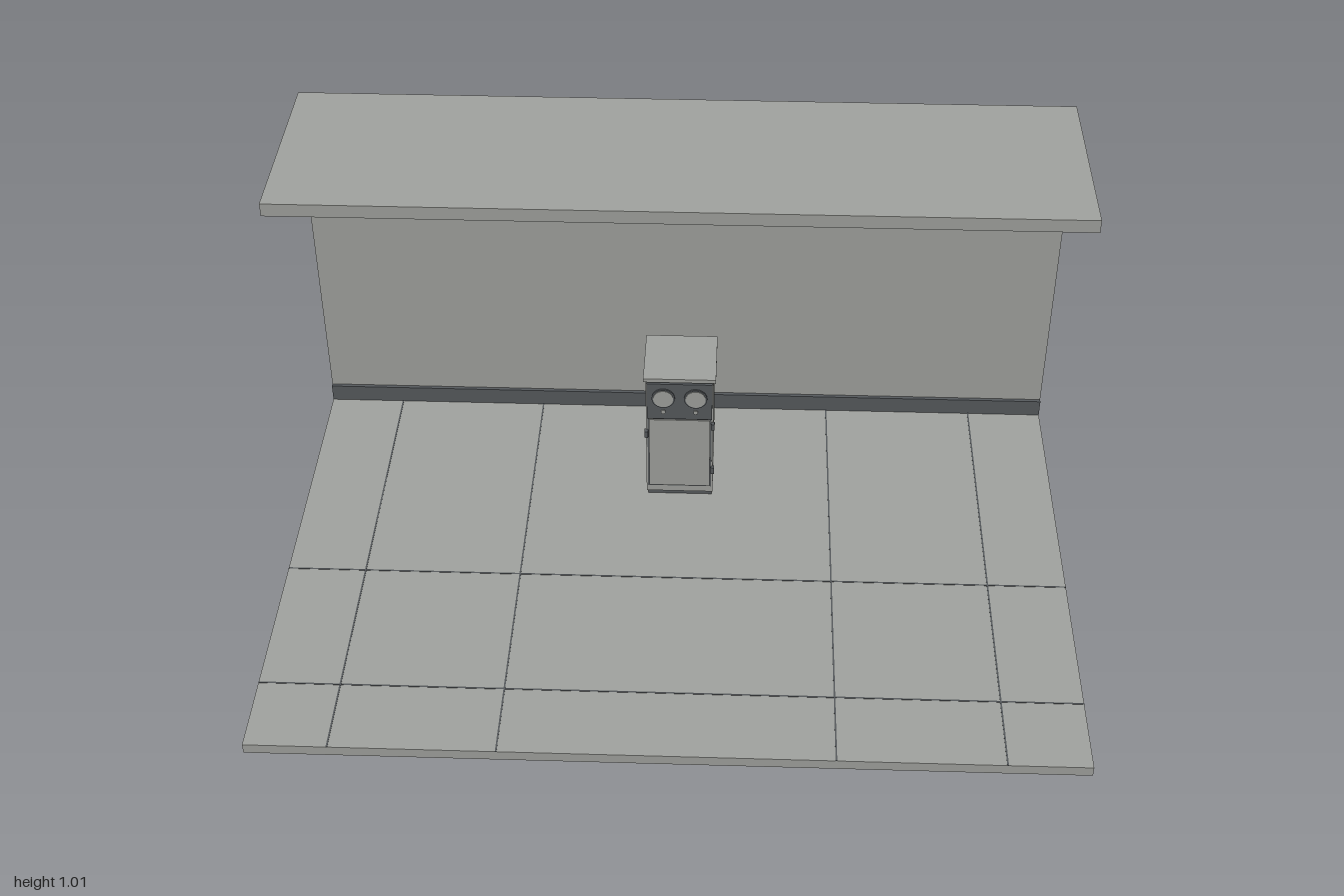
import * as THREE from 'three';

const light = new THREE.MeshStandardMaterial({ name: 'light grey', color: 0xa0a29e });
const dark = new THREE.MeshStandardMaterial({ name: 'dark grey', color: 0x565a5d });

// Box given by its minimum and maximum corners
function box(parent, name, mat, [x0, y0, z0], [x1, y1, z1]) {
  const mesh = new THREE.Mesh(new THREE.BoxGeometry(x1 - x0, y1 - y0, z1 - z0), mat);
  mesh.position.set((x0 + x1) / 2, (y0 + y1) / 2, (z0 + z1) / 2);
  mesh.name = name;
  parent.add(mesh);
  return mesh;
}

// Disc facing the front
function disc(parent, name, mat, r, x, y, z0, z1) {
  const geo = new THREE.CylinderGeometry(r, r, z1 - z0, 32).rotateX(Math.PI / 2);
  const mesh = new THREE.Mesh(geo, mat);
  mesh.position.set(x, y, (z0 + z1) / 2);
  mesh.name = name;
  parent.add(mesh);
}

function createRoom() {
  const room = new THREE.Group();
  room.name = 'room';
  box(room, 'floor', light, [-1, 0, -1], [1, 0.027, 1]);
  box(room, 'backWall', light, [-1, 0.027, -0.338], [1, 0.975, -0.302]);
  box(room, 'ceiling', light, [-1, 0.975, -0.338], [1, 1.01, 0.18]);
  box(room, 'baseboard', dark, [-1, 0.027, -0.302], [1, 0.075, -0.292]);

  // Thin tile joints in both directions
  const w = 0.002;
  for (const p of [-0.8, -0.4, 0.4, 0.8]) {
    box(room, 'tileJointAlongZ', dark, [p - w, 0.026, -1], [p + w, 0.028, 1]);
    box(room, 'tileJointAlongX', dark, [-1, 0.026, p - w], [1, 0.028, p + w]);
  }
  return room;
}

function createCabinet() {
  const cabinet = new THREE.Group();
  cabinet.name = 'cabinet';
  box(cabinet, 'plinth', dark, [-0.085, 0.027, -0.07], [0.085, 0.05, 0.074]);
  box(cabinet, 'body', light, [-0.088, 0.05, -0.085], [0.088, 0.424, 0.09]);
  box(cabinet, 'topSlab', light, [-0.094, 0.424, -0.091], [0.094, 0.435, 0.095]);
  box(cabinet, 'doorGap', dark, [-0.084, 0.07, 0.089], [0.084, 0.305, 0.092]);
  box(cabinet, 'door', light, [-0.08, 0.075, 0.09], [0.08, 0.3, 0.096]);
  box(cabinet, 'controlPanel', dark, [-0.085, 0.305, 0.09], [0.085, 0.42, 0.097]);

  // Pair of round dials with dark rims, and the small switches below
  for (const s of [-1, 1]) {
    disc(cabinet, 'dialRim', dark, 0.03, s * 0.042, 0.375, 0.097, 0.101);
    disc(cabinet, 'dialFace', light, 0.026, s * 0.042, 0.375, 0.1, 0.103);
    disc(cabinet, 'switch', light, 0.006, s * 0.042, 0.33, 0.097, 0.101);
  }

  // Hinges on one side, catch on the other
  for (const y of [0.13, 0.28]) {
    box(cabinet, 'hinge', dark, [0.082, y - 0.01, 0.088], [0.092, y + 0.01, 0.099]);
  }
  box(cabinet, 'doorCatch', dark, [-0.092, 0.243, 0.088], [-0.082, 0.263, 0.102]);
  return cabinet;
}

export function createModel() {
  const model = new THREE.Group();
  model.name = 'roomWithCabinet';
  model.add(createRoom(), createCabinet());
  return model;
}
